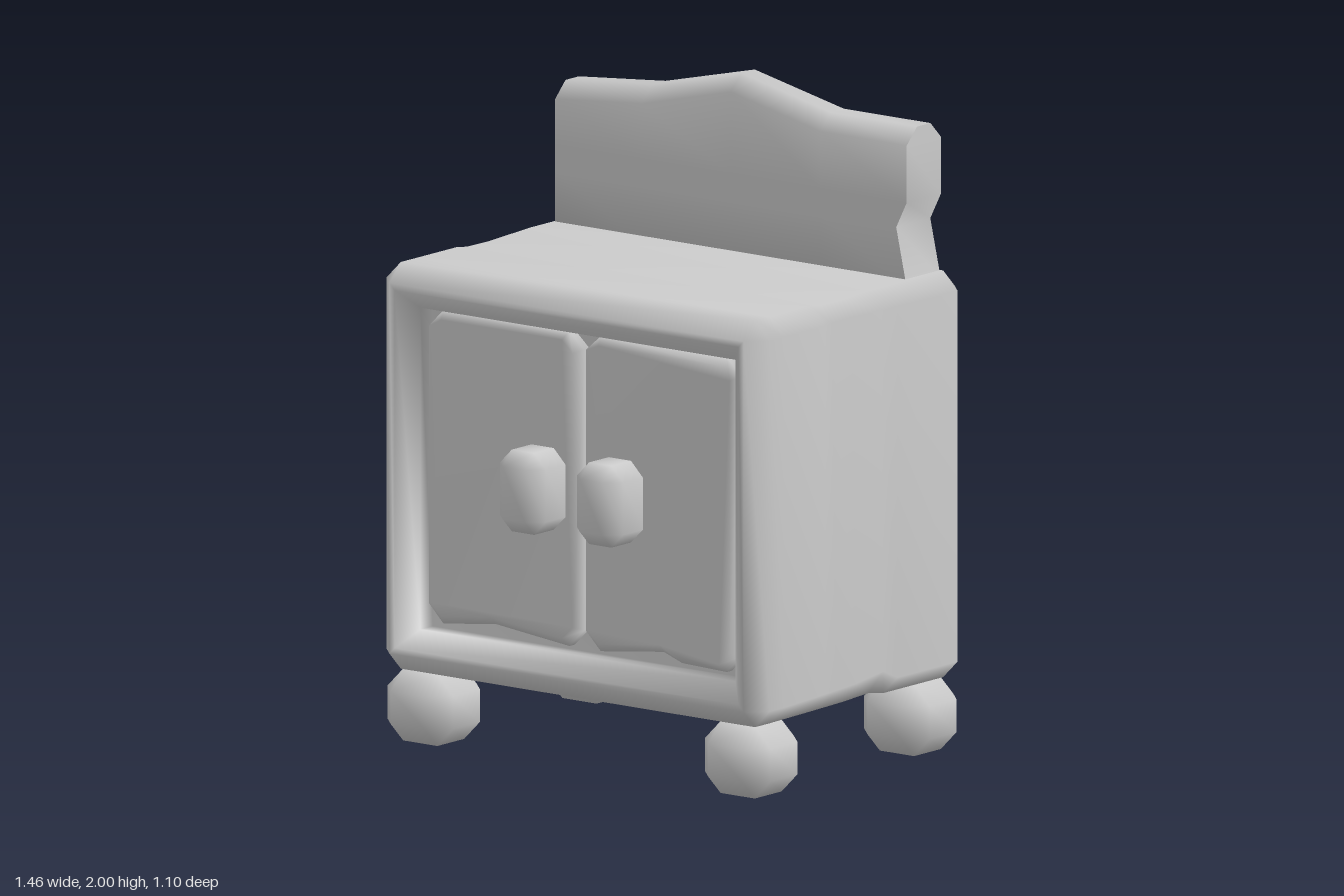
import * as THREE from 'three';
import { mergeVertices } from 'three/addons/utils/BufferGeometryUtils.js';

const material = new THREE.MeshStandardMaterial({ color: 0xcccccc });

// Weld shared corners and shade smoothly
function smooth(geo) {
  geo.deleteAttribute('normal');
  geo.deleteAttribute('uv');
  const welded = mergeVertices(geo, 1e-4);
  welded.computeVertexNormals();
  return welded;
}

// Skin a list of equal-length rings and close both ends with strips of quads
function loft(rings, sharpEnds = false) {
  const n = rings[0].length, last = rings.length - 1;
  const points = rings.flat();
  const index = [];
  for (let k = 0; k < last; k++) {
    for (let i = 0; i < n; i++) {
      const j = (i + 1) % n, a = k * n, b = a + n;
      index.push(a + i, a + j, b + j, a + i, b + j, b + i);
    }
  }
  const startCap = points.length, endCap = startCap + n;
  points.push(...rings[0], ...rings[last]);
  for (let i = 0; i < n / 2 - 1; i++) {
    const p = n - 1 - i, q = n - 2 - i;
    index.push(endCap + i, endCap + i + 1, endCap + q, endCap + i, endCap + q, endCap + p);
    index.push(startCap + i, startCap + q, startCap + i + 1, startCap + i, startCap + p, startCap + q);
  }
  const geo = new THREE.BufferGeometry();
  geo.setAttribute('position', new THREE.Float32BufferAttribute(points.flat(), 3));
  geo.setIndex(index);
  if (!sharpEnds) return smooth(geo);
  geo.computeVertexNormals();
  return geo;
}

// Rectangle with cut corners, half size a by b, at depth z
function ring(a, b, c, z) {
  return [
    [a - c, -b, z], [a, c - b, z], [a, b - c, z], [a - c, b, z],
    [c - a, b, z], [-a, b - c, z], [-a, c - b, z], [c - a, -b, z],
  ];
}

// Box with every edge chamfered by c
function chamferBox(w, h, d, c) {
  const a = w / 2, b = h / 2, e = d / 2;
  return loft([
    ring(a - c, b - c, 0, -e), ring(a, b, c, c - e),
    ring(a, b, c, e - c), ring(a - c, b - c, 0, e),
  ]);
}

function add(group, name, geo, x = 0, y = 0, z = 0) {
  const mesh = new THREE.Mesh(geo, material);
  mesh.name = name;
  mesh.position.set(x, y, z);
  group.add(mesh);
}

// Cabinet with a worn lower edge, dented upper edge and recessed front
function cabinetGeometry() {
  const W = 0.73, H = 0.6225, C = 0.055;
  const rings = [ring(W - C, H - C, 0, -0.545), ring(W, H, C, -0.49)];
  // z, lift of the lower side edge, dent of the upper side edge
  const wear = [[-0.2, 0, 0], [-0.13, 0.06, 0.006], [0, 0.03, 0.016], [0.1, 0.02, 0.014], [0.15, 0.015, 0], [0.35, 0, 0]];
  for (const [z, lift, dent] of wear) {
    const r = ring(W, H, C, z);
    for (const i of [1, 6]) r[i][1] += lift * 0.5;
    for (const i of [0, 7]) r[i][1] += lift * 0.2;
    for (const i of [2, 5]) r[i][0] -= Math.sign(r[i][0]) * dent;
    for (const i of [3, 4]) r[i][1] -= dent * 0.5;
    rings.push(r);
  }
  rings.push(ring(W, H, C, 0.42));
  // inset and depth of the frame lip and the recess behind it
  for (const [inset, z] of [[0.055, 0.475], [0.075, 0.475], [0.13, 0.42], [0.13, 0.36]]) {
    rings.push(ring(W - inset, H - inset, 0, z));
  }
  return loft(rings);
}

// Door slab with cut corners and a wavy lower edge
function doorGeometry(outline) {
  const bevel = 0.025;
  const geo = new THREE.ExtrudeGeometry(
    new THREE.Shape(outline.map(([x, y]) => new THREE.Vector2(x, y))),
    { depth: 0.04, bevelEnabled: true, bevelThickness: bevel, bevelSize: bevel, bevelOffset: -bevel, bevelSegments: 1 });
  return smooth(geo);
}

// Backboard with a wavy chamfered top and a chip in one end
function backboardGeometry() {
  const back = -0.485, front = -0.32, c = 0.05;
  const crest = [[-0.67, 1.89], [-0.34, 1.92], [0, 2], [0.34, 1.925], [0.67, 1.925]];
  const rings = crest.map(([x, top]) => {
    const chipped = x > 0.6 ? 0.63 : x;
    return [
      [x, 1.44, back], [chipped, 1.62, back], [x, 1.7, back], [x, top - c, back], [x, top, back + c],
      [x, top, front - c], [x, top - c, front], [x, 1.7, front], [chipped, 1.62, front], [x, 1.44, front],
    ];
  });
  return loft(rings, true);
}

export function createModel() {
  const model = new THREE.Group();
  model.name = 'cabinet';

  add(model, 'cabinetBody', cabinetGeometry(), 0, 0.8425, 0);
  add(model, 'backboard', backboardGeometry());

  // Doors
  add(model, 'rightDoor', doorGeometry([
    [-0.595, 0.425], [-0.54, 0.37], [-0.34, 0.395], [-0.06, 0.365], [-0.003, 0.42],
    [-0.003, 1.28], [-0.06, 1.33], [-0.54, 1.33], [-0.595, 1.275],
  ]), 0, 0, 0.345);
  add(model, 'leftDoor', doorGeometry([
    [0.003, 0.42], [0.06, 0.365], [0.3, 0.395], [0.37, 0.37], [0.54, 0.365], [0.595, 0.42],
    [0.595, 1.275], [0.54, 1.33], [0.06, 1.33], [0.003, 1.28],
  ]), 0, 0, 0.345);

  // Handles
  const handle = chamferBox(0.175, 0.25, 0.19, 0.045);
  add(model, 'rightHandle', handle, -0.1425, 0.845, 0.455);
  add(model, 'leftHandle', handle, 0.152, 0.845, 0.455);

  // Feet
  const foot = chamferBox(0.25, 0.22, 0.25, 0.06);
  for (const x of [-0.605, 0.605]) {
    add(model, 'frontFoot', foot, x, 0.11, 0.35);
    add(model, 'backFoot', foot, x, 0.11, -0.42);
  }
  return model;
}
